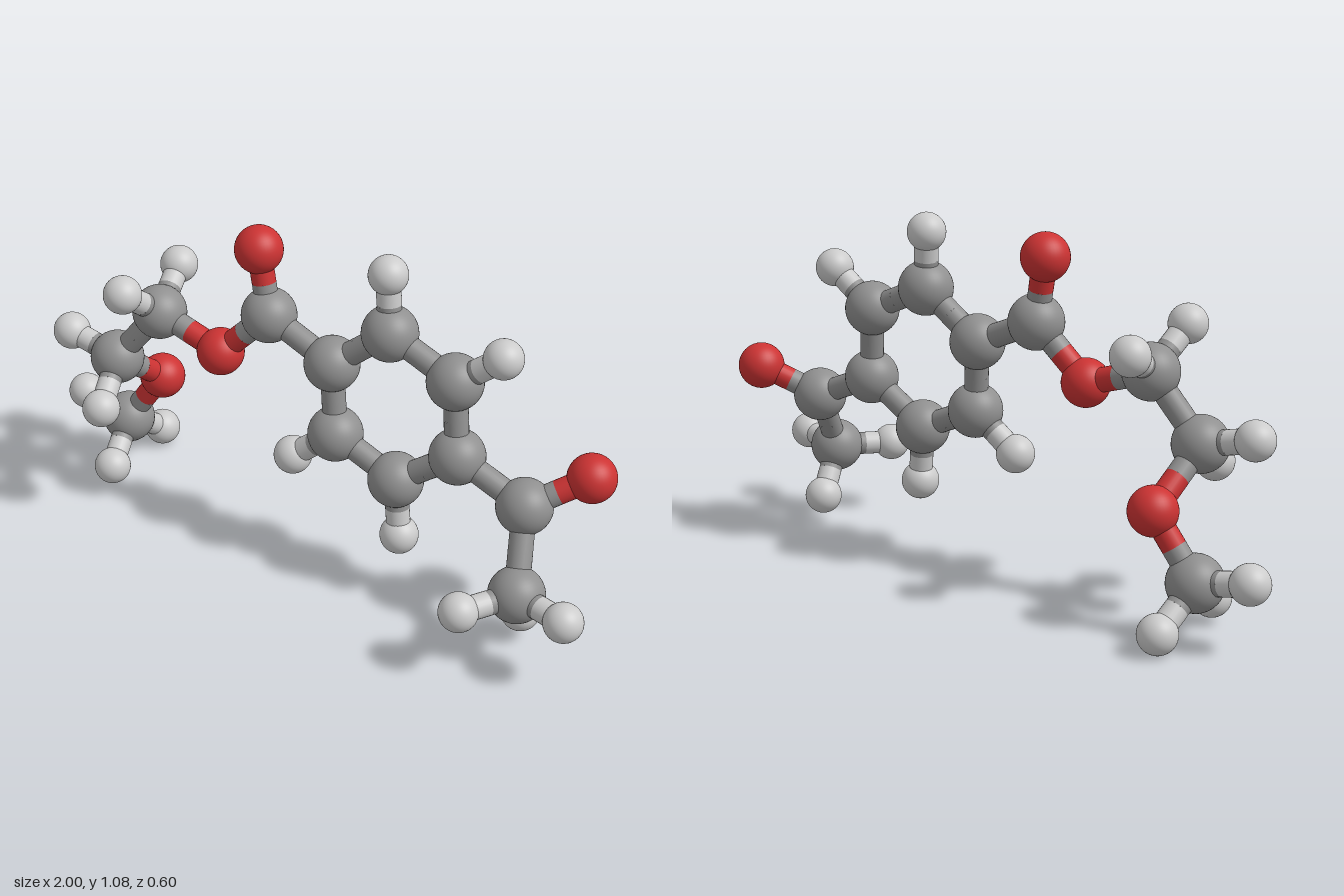
import * as THREE from 'three';

// Atom kinds: radius and material
const KINDS = {
  carbon: { r: 0.083, mat: new THREE.MeshStandardMaterial({ color: 0x909090 }) },
  oxygen: { r: 0.072, mat: new THREE.MeshStandardMaterial({ color: 0xcc3333 }) },
  hydrogen: { r: 0.058, mat: new THREE.MeshStandardMaterial({ color: 0xcccccc }) },
};
const BOND_RADIUS = 0.036;

// Heavy atoms: name -> kind, position
const HEAVY = {
  ring1: ['carbon', 0.07, 0.706, -0.02],
  ring2: ['carbon', 0.243, 0.85, -0.052],
  ring3: ['carbon', 0.457, 0.76, -0.057],
  ring4: ['carbon', 0.49, 0.535, -0.03],
  ring5: ['carbon', 0.307, 0.40, 0.0],
  ring6: ['carbon', 0.10, 0.487, 0.005],
  esterCarbon: ['carbon', -0.15, 0.797, -0.02],
  esterDoubleOxygen: ['oxygen', -0.195, 0.993, -0.037],
  esterOxygen: ['oxygen', -0.305, 0.636, 0.013],
  chainCarbon1: ['carbon', -0.527, 0.703, 0.017],
  chainCarbon2: ['carbon', -0.672, 0.513, 0.055],
  etherOxygen: ['oxygen', -0.643, 0.358, -0.127],
  endCarbon: ['carbon', -0.768, 0.171, -0.099],
  ketoneCarbon: ['carbon', 0.709, 0.444, -0.037],
  ketoneOxygen: ['oxygen', 0.858, 0.535, -0.146],
  methylCarbon: ['carbon', 0.767, 0.238, 0.092],
};

// Bonds between heavy atoms, as chains
const CHAINS = [
  ['ring1', 'ring2', 'ring3', 'ring4', 'ring5', 'ring6', 'ring1'],
  ['ring1', 'esterCarbon', 'esterOxygen', 'chainCarbon1', 'chainCarbon2', 'etherOxygen', 'endCarbon'],
  ['esterCarbon', 'esterDoubleOxygen'],
  ['ring4', 'ketoneCarbon', 'methylCarbon'],
  ['ketoneCarbon', 'ketoneOxygen'],
];

// Hydrogens listed by the carbon that carries them
const HYDROGENS = {
  ring2: [[0.222, 1.023, -0.07]],
  ring3: [[0.594, 0.872, -0.076]],
  ring5: [[0.333, 0.221, 0.015]],
  ring6: [[-0.037, 0.372, 0.026]],
  chainCarbon1: [[-0.553, 0.819, 0.156], [-0.568, 0.782, -0.14]],
  chainCarbon2: [[-0.845, 0.552, 0.06], [-0.623, 0.421, 0.205]],
  endCarbon: [[-0.943, 0.208, -0.1], [-0.725, 0.078, 0.05], [-0.745, 0.06, -0.241]],
  methylCarbon: [[0.938, 0.246, 0.138], [0.666, 0.232, 0.244], [0.735, 0.096, -0.007]],
};

export function createModel() {
  const model = new THREE.Group();
  model.name = 'molecule';
  const rod = new THREE.CylinderGeometry(BOND_RADIUS, BOND_RADIUS, 1, 24, 1, true);
  const balls = {};
  for (const kind in KINDS) balls[kind] = new THREE.SphereGeometry(KINDS[kind].r, 40, 24);
  const up = new THREE.Vector3(0, 1, 0);

  function addAtom(name, kind, position) {
    const ball = new THREE.Mesh(balls[kind], KINDS[kind].mat);
    ball.name = name;
    ball.position.copy(position);
    model.add(ball);
    return { name, kind, position };
  }

  // Half of a bond, from an atom to the midpoint
  function addHalfBond(atom, middle) {
    const span = middle.clone().sub(atom.position);
    const half = new THREE.Mesh(rod, KINDS[atom.kind].mat);
    half.name = atom.name + 'Bond';
    half.position.copy(atom.position).addScaledVector(span, 0.5);
    half.scale.y = span.length();
    half.quaternion.setFromUnitVectors(up, span.normalize());
    model.add(half);
  }

  // Each half takes the colour of its own atom
  function addBond(a, b) {
    const middle = a.position.clone().lerp(b.position, 0.5);
    addHalfBond(a, middle);
    addHalfBond(b, middle);
  }

  // Carbon and oxygen skeleton
  const atoms = {};
  for (const [name, [kind, ...p]] of Object.entries(HEAVY)) {
    atoms[name] = addAtom(name, kind, new THREE.Vector3(...p));
  }
  for (const chain of CHAINS) {
    for (let i = 1; i < chain.length; i++) addBond(atoms[chain[i - 1]], atoms[chain[i]]);
  }

  // Hydrogens with their bonds
  for (const [carrier, list] of Object.entries(HYDROGENS)) {
    list.forEach((p, i) => {
      const h = addAtom(`${carrier}Hydrogen${i + 1}`, 'hydrogen', new THREE.Vector3(...p));
      addBond(atoms[carrier], h);
    });
  }
  return model;
}
